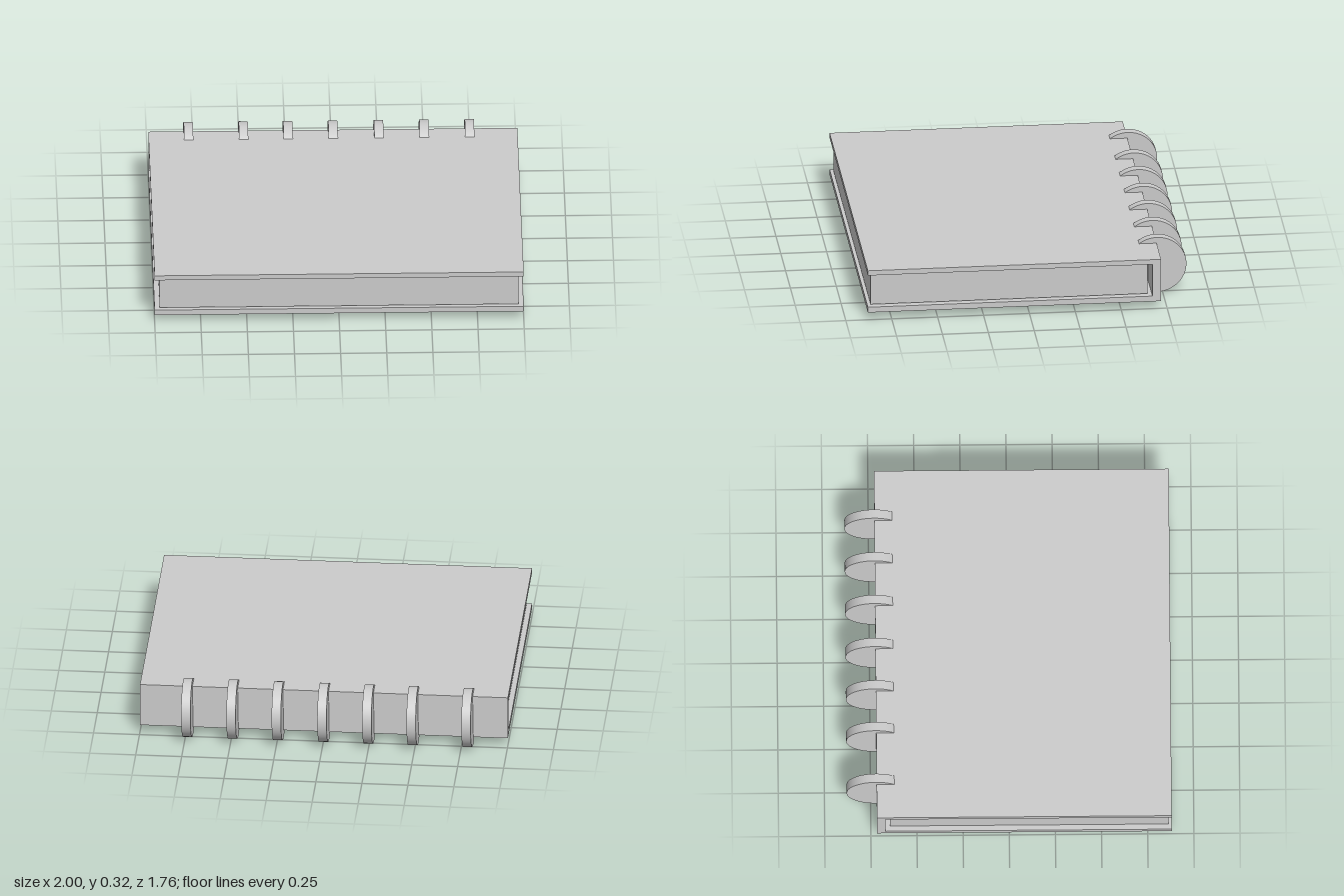
import * as THREE from 'three';

export function createModel() {
  const group = new THREE.Group();
  group.name = 'ringBoundBook';
  const material = new THREE.MeshStandardMaterial({ color: 0xcccccc });

  // Box given by its lower and upper limits
  function box(name, min, max) {
    const size = max.map((v, i) => v - min[i]);
    const mesh = new THREE.Mesh(new THREE.BoxGeometry(...size), material);
    mesh.position.set(...max.map((v, i) => (v + min[i]) / 2));
    mesh.name = name;
    group.add(mesh);
  }

  // Hard cover: two boards joined by the spine
  box('bottomCover', [-1, 0.042, -0.717], [1, 0.073, 0.88]);
  box('topCover', [-1, 0.258, -0.717], [1, 0.286, 0.88]);
  box('spine', [-1, 0.073, -0.717], [1, 0.258, -0.67]);

  // Page block, set in from the cover edges
  box('pages', [-0.972, 0.078, -0.646], [0.972, 0.255, 0.862]);

  // Solid discs wrapped around the spine, unevenly spaced and leaning slightly
  const discGeometry = new THREE.CylinderGeometry(0.16, 0.16, 0.05, 48);
  discGeometry.rotateZ(Math.PI / 2);
  [-0.785, -0.487, -0.246, -0.002, 0.246, 0.492, 0.738].forEach((x, i) => {
    const disc = new THREE.Mesh(discGeometry, material);
    disc.position.set(x, 0.16, -0.72);
    disc.rotation.z = -0.015;
    disc.name = `spineRing${i + 1}`;
    group.add(disc);
  });

  return group;
}
